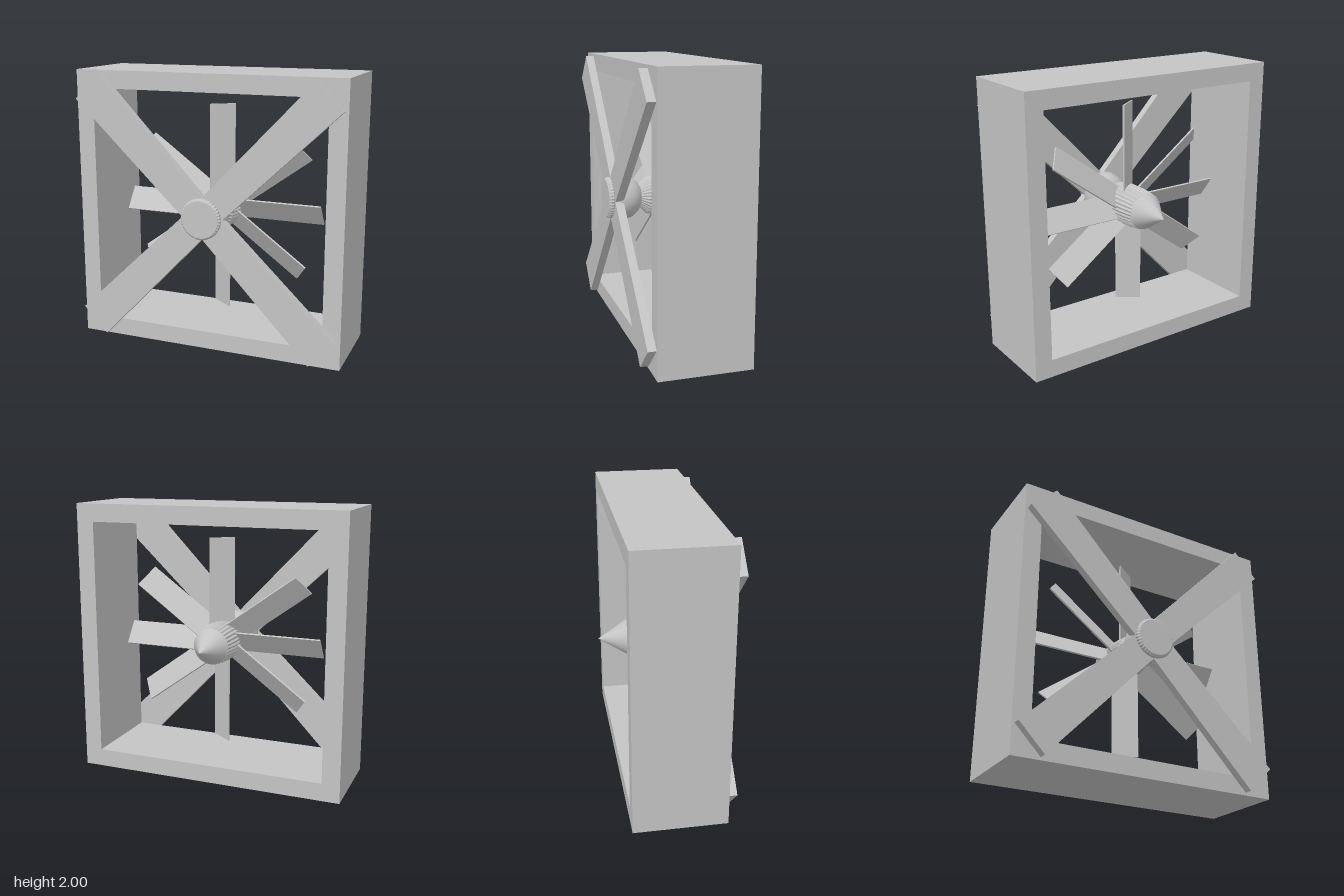
import * as THREE from 'three';

export function createModel() {
  const model = new THREE.Group();
  const grey = new THREE.MeshStandardMaterial({ color: 0xc4c4c4 });
  grey.name = 'light grey';

  const add = (name, geometry, parent = model) => {
    const mesh = new THREE.Mesh(geometry, grey);
    mesh.name = name;
    parent.add(mesh);
    return mesh;
  };
  const polygon = (points) => new THREE.Shape(points.map(([x, y]) => new THREE.Vector2(x, y)));
  const square = (h) => [[-h, -h], [h, -h], [h, h], [-h, h]];

  // Flat-faced prism along z
  const slab = (shape, z0, z1) =>
    new THREE.ExtrudeGeometry(shape, { depth: z1 - z0, bevelEnabled: false }).translate(0, 0, z0);

  // Solid turned about the z axis, from [radius, z] pairs running back to front
  const turned = (profile, segments) =>
    new THREE.LatheGeometry(profile.map(([r, z]) => new THREE.Vector2(r, z)), segments).rotateX(Math.PI / 2);

  // Turned solid with raised ribs: every second line of vertices is pulled in
  const ribbed = (profile, ribs, depth) => {
    const g = turned(profile, ribs * 2);
    const p = g.attributes.position;
    for (let i = 0; i < p.count; i++) {
      const line = Math.floor(i / profile.length);
      const k = line % 2 ? 1 - depth : 1;
      p.setXY(i, p.getX(i) * k, p.getY(i) * k);
    }
    const flat = g.toNonIndexed();
    flat.computeVertexNormals();
    return flat;
  };

  // Everything is built around the fan axis, then lifted to stand on the ground
  const fan = new THREE.Group();
  fan.name = 'fan';
  fan.position.y = 1;
  model.add(fan);

  // Square duct
  const duct = polygon(square(1));
  duct.holes.push(polygon(square(0.87).reverse()));
  add('ductFrame', slab(duct, -0.33, 0.335), fan);

  // Crossed front struts, each arm widening towards its corner
  const arm = [[0.15, 0], [0.98, 0.79], [0.795, 0.98]];
  const cross = [];
  for (let i = 0; i < 4; i++) {
    const c = [1, 0, -1, 0][i], s = [0, 1, 0, -1][i];
    arm.forEach(([x, y]) => cross.push([x * c - y * s, x * s + y * c]));
  }
  add('crossStruts', slab(polygon(cross), 0.335, 0.395), fan);

  // Knurled front cap
  add('frontCap', ribbed([[0.138, 0.395], [0.15, 0.4], [0.15, 0.42], [0.132, 0.434]], 40, 0.03), fan);
  add('frontCapFace', new THREE.CircleGeometry(0.134, 40).translate(0, 0, 0.434), fan);

  // Motor housing behind the struts
  add('motorHousing', turned(
    [[0.06, 0.17], [0.11, 0.2], [0.145, 0.24], [0.162, 0.29], [0.165, 0.335], [0.148, 0.385]], 40), fan);

  // Ribbed hub and pointed rear nose
  add('ribbedHub', ribbed(
    [[0.1, -0.226], [0.135, -0.222], [0.148, -0.1], [0.15, 0.02], [0.135, 0.13], [0.06, 0.2]], 32, 0.05), fan);
  add('noseCone', new THREE.ConeGeometry(0.132, 0.213, 40).rotateX(-Math.PI / 2)
    .translate(0, 0, -0.3285), fan);

  // Pitched fan blades
  const pitch = Math.atan2(0.113, 0.155);
  [0, 36, 90, 144, 180, 216, 270, 324].forEach((angle) => {
    const g = new THREE.BoxGeometry(0.66, 0.19, 0.012).rotateX(pitch).translate(0.43, 0, 0);
    add('blade', g, fan).rotation.z = THREE.MathUtils.degToRad(angle);
  });

  return model;
}
